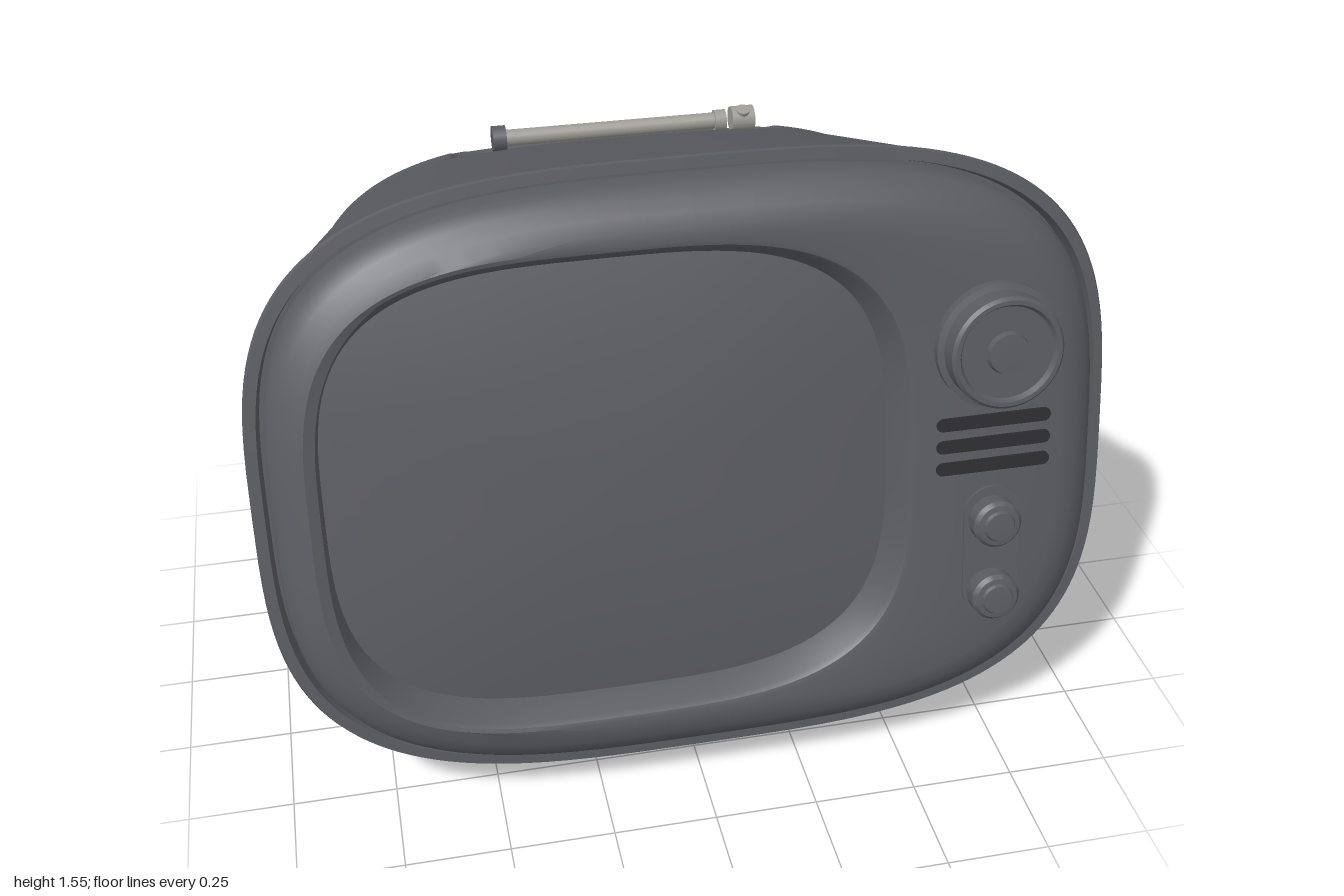
import * as THREE from 'three';
import { toCreasedNormals } from 'three/addons/utils/BufferGeometryUtils.js';

const E = 3.3;                 // roundness of the cabinet outline
const A = 0.845, B = 0.612;    // half size of the cabinet where the back rounds off
const CAP = 0.93;              // share of that size covered by the slotted back

// Surface through rows of points; flip turns the faces over.
function surface(rows, closed, flip, crease = 0.6) {
  const pos = [];
  const tri = (a, b, c) => pos.push(...a, ...(flip ? c : b), ...(flip ? b : c));
  for (let i = 0; i < rows.length - 1; i++) {
    const r = rows[i], s = rows[i + 1], n = r.length;
    for (let j = 0; j < (closed ? n : n - 1); j++) {
      const k = (j + 1) % n;
      tri(r[j], r[k], s[k]);
      tri(r[j], s[k], s[j]);
    }
  }
  const g = new THREE.BufferGeometry();
  g.setAttribute('position', new THREE.Float32BufferAttribute(pos, 3));
  return toCreasedNormals(g, crease);
}

// Closed superellipse ring: half width a, half height b, depth w, centre cx.
function ring(a, b, w, cx = 0, n = 144) {
  const pw = (c) => Math.sign(c) * Math.pow(Math.abs(c), 2 / E);
  return Array.from({ length: n }, (_, i) => {
    const t = (i / n) * Math.PI * 2;
    return [cx + a * pw(Math.cos(t)), b * pw(Math.sin(t)), w];
  });
}

// Depth of the rounded back at share t of the outline.
const backDepth = (t) => t < 0.6 ? -1.085 : -0.8 - 0.285 * Math.sqrt(Math.max(0, 1 - ((t - 0.6) / 0.4) ** 2));
const backAt = (x, v) => backDepth(Math.pow(Math.abs(x / A) ** E + Math.abs(v / B) ** E, 1 / E));

// Shallow dish in the top that holds the antenna.
function dish([x, v, w]) {
  if (v < 0.4) return [x, v, w];
  const d = Math.hypot(Math.max(0, Math.abs(x) - 0.32), w + 0.82);
  return [x, v - 0.025 * (1 - THREE.MathUtils.smoothstep(d, 0.095, 0.125)), w];
}

function shellGeometry() {
  const rows = [ring(A * (CAP - 0.02), B * (CAP - 0.02), backDepth(CAP) + 0.02)];
  for (let i = 0; i <= 14; i++) {
    const t = 0.6 + 0.4 * Math.sin(Math.asin((CAP - 0.6) / 0.4) * (1 - i / 14) + (Math.PI / 2) * (i / 14));
    rows.push(ring(A * t, B * t, backDepth(t)));
  }
  for (let i = 1; i <= 40; i++) {
    const k = i / 40;
    rows.push(ring(A + (0.995 - A) * k, B + (0.73 - B) * k, -0.8 + 0.78 * k));
  }
  // front lip and groove
  rows.push(ring(1, 0.735, -0.01), ring(0.995, 0.732, 0), ring(0.972, 0.708, 0.002), ring(0.965, 0.7, -0.04), ring(0.93, 0.67, -0.04));
  return surface(rows.map((r) => r.map(dish)), true, false);
}

// Back panel: horizontal slats between openings, laid on the rounded back.
function backGeometries() {
  const R = 0.033;
  const slot = (c, len) => (x) => {
    const d = Math.max(0, Math.abs(x) - (len - R));
    const h = d < R ? Math.sqrt(R * R - d * d) : 0;
    return [c - h, c + h];
  };
  const inPocket = (x) => Math.abs(x) > 0.5 && Math.abs(x) < 0.72;
  const low = (c, lo, hi) => (x) => inPocket(x) ? [lo, hi] : slot(c, 0.46)(x);
  const holes = [low(-0.3, -0.35, -0.245), low(-0.18, -0.245, -0.14),
    slot(-0.056, 0.7), slot(0.062, 0.7), slot(0.184, 0.7), slot(0.31, 0.7)];

  const X = A * CAP, xs = [];
  for (let i = 0; i <= 100; i++) xs.push(X * Math.sin((i / 100 - 0.5) * Math.PI));
  for (const s of [-1, 1]) {
    for (const len of [0.46, 0.7])
      for (let i = 0; i <= 8; i++) xs.push(s * (len - R + R * Math.sin((i / 8) * Math.PI / 2)));
    xs.push(s * 0.5, s * 0.501, s * 0.719, s * 0.72);
  }
  xs.sort((a, b) => a - b);

  const strips = [];
  for (let k = 0; k <= holes.length; k++) {
    const cols = xs.map((x) => {
      const V = B * CAP * Math.pow(Math.max(0, 1 - Math.abs(x / X) ** E), 1 / E);
      const lim = (v) => THREE.MathUtils.clamp(v, -V, V);
      const v0 = lim(k === 0 ? -V : holes[k - 1](x)[1]);
      const v1 = lim(k === holes.length ? V : holes[k](x)[0]);
      const wall = v1 - v0 > 1e-4 ? 0.05 : 0;
      const col = [[x, v0, backAt(x, v0) + wall]];
      for (let j = 0; j <= 8; j++) {
        const v = v0 + (v1 - v0) * j / 8;
        col.push([x, v, backAt(x, v)]);
      }
      col.push([x, v1, backAt(x, v1) + wall]);
      return col;
    });
    strips.push(surface(cols, false, false));
  }
  return strips;
}

// Upright capsule outline, extruded forwards.
function capsule(halfW, halfH, depth) {
  const r = Math.min(halfW, halfH), s = new THREE.Shape();
  if (halfW > halfH) {
    s.absarc(halfW - r, 0, r, -Math.PI / 2, Math.PI / 2);
    s.absarc(r - halfW, 0, r, Math.PI / 2, Math.PI * 1.5);
  } else {
    s.absarc(0, halfH - r, r, 0, Math.PI);
    s.absarc(0, r - halfH, r, Math.PI, Math.PI * 2);
  }
  return new THREE.ExtrudeGeometry(s, { depth, bevelEnabled: false, curveSegments: 16 });
}

const lathe = (pts) => toCreasedNormals(new THREE.LatheGeometry(pts.map((p) => new THREE.Vector2(...p)), 40), 0.6);

export function createModel() {
  const grey = new THREE.MeshStandardMaterial({ color: 0x5b5c61, side: THREE.DoubleSide });
  grey.name = 'charcoal plastic';
  const metal = new THREE.MeshStandardMaterial({ color: 0x9c9b95 });
  metal.name = 'antenna metal';
  const dark = new THREE.MeshStandardMaterial({ color: 0x2e2e31 });
  dark.name = 'dark slot';

  const model = new THREE.Group();
  model.name = 'television';
  const add = (parent, name, geo, mat, x = 0, y = 0, z = 0) => {
    const m = new THREE.Mesh(geo, mat);
    m.name = name;
    m.position.set(x, y, z);
    parent.add(m);
    return m;
  };

  // Cabinet leans back; inside it z is the screen normal.
  const cabinet = new THREE.Group();
  cabinet.name = 'cabinet';
  cabinet.position.set(0, 0.83, 0.46);
  cabinet.rotation.x = -0.2056;
  model.add(cabinet);

  add(cabinet, 'shell', shellGeometry(), grey);
  backGeometries().forEach((g, i) => add(cabinet, 'backSlat' + (i + 1), g, grey));
  add(cabinet, 'backDisc', new THREE.CylinderGeometry(0.12, 0.12, 0.05, 40).rotateX(Math.PI / 2), grey, 0, 0, -1.064);
  for (const s of [-1, 1]) {
    add(cabinet, 'pocketFloor', new THREE.BoxGeometry(0.26, 0.24, 0.03), grey, s * 0.61, -0.245, -0.89);
    add(cabinet, 'pocketWall', new THREE.BoxGeometry(0.012, 0.21, 0.18), grey, s * 0.495, -0.245, -0.98);
  }

  // Bezel with rounded edge, screen opening and sloping reveal
  add(cabinet, 'bezel', surface([
    ring(0.955, 0.692, -0.04), ring(0.955, 0.692, 0.02), ring(0.947, 0.685, 0.04), ring(0.925, 0.665, 0.065),
    ring(0.89, 0.635, 0.087), ring(0.85, 0.605, 0.098), ring(0.69, 0.575, 0.103, -0.185),
    ring(0.68, 0.565, 0.1, -0.19), ring(0.672, 0.557, 0.09, -0.19), ring(0.648, 0.53, 0.02, -0.195),
  ], true, false, 0.5), grey);

  // Bulging picture tube
  const tube = [];
  for (let i = 0; i <= 10; i++) {
    const t = Math.cos((i / 10) * Math.PI / 2);
    tube.push(ring(0.65 * t, 0.532 * t, 0.02 + 0.045 * (1 - t * t), -0.195));
  }
  add(cabinet, 'screen', surface(tube, true, false), grey);

  // Tuning dial
  add(cabinet, 'dial', lathe([[0.147, 0], [0.147, 0.026], [0.132, 0.03], [0.132, 0.078], [0.125, 0.086],
    [0.115, 0.086], [0.108, 0.074], [0.05, 0.074], [0.046, 0.088], [0, 0.09]]).rotateX(Math.PI / 2), grey, 0.685, 0.268, 0.098);

  // Speaker slots
  for (const v of [0.08, 0.025, -0.03])
    add(cabinet, 'speakerSlot', capsule(0.138, 0.016, 0.006), dark, 0.685, v, 0.1);

  // Lower control plate with two knobs
  add(cabinet, 'controlPlate', capsule(0.068, 0.165, 0.02), grey, 0.685, -0.25, 0.088);
  for (const v of [-0.166, -0.355])
    add(cabinet, 'knob', lathe([[0.058, 0], [0.058, 0.045], [0.05, 0.055], [0.038, 0.057], [0.034, 0.064], [0, 0.066]])
      .rotateX(Math.PI / 2), grey, 0.685, v, 0.1);

  // Feet
  const foot = (r, h) => lathe([[0, 0], [r * 0.35, 0.004], [r * 0.65, 0.02], [r * 0.88, 0.05], [r, 0.1], [r, h]]);
  for (const s of [-1, 1]) {
    add(model, 'frontFoot', foot(0.1, 0.24), grey, s * 0.655, 0, 0.36).rotation.z = s * 0.06;
    add(model, 'rearFoot', foot(0.09, 0.13), grey, s * 0.38, 0, -0.14);
  }

  // Folded antenna lying along the top
  const antenna = new THREE.Group();
  antenna.name = 'antenna';
  antenna.position.set(0, 1.272, -0.467);
  model.add(antenna);
  const bar = (r, len) => new THREE.CylinderGeometry(r, r, len, 20).rotateZ(Math.PI / 2);
  add(antenna, 'rod', bar(0.021, 0.57), metal, -0.01);
  add(antenna, 'rodCollar', bar(0.027, 0.03), metal, 0.27);
  add(antenna, 'rodTip', bar(0.033, 0.035), grey, -0.312);
  add(antenna, 'hinge', bar(0.033, 0.06), metal, 0.33);
  add(antenna, 'hingePin', new THREE.CylinderGeometry(0.018, 0.018, 0.09, 16).rotateX(0.36), metal, 0.33, -0.01, 0);
  return model;
}
